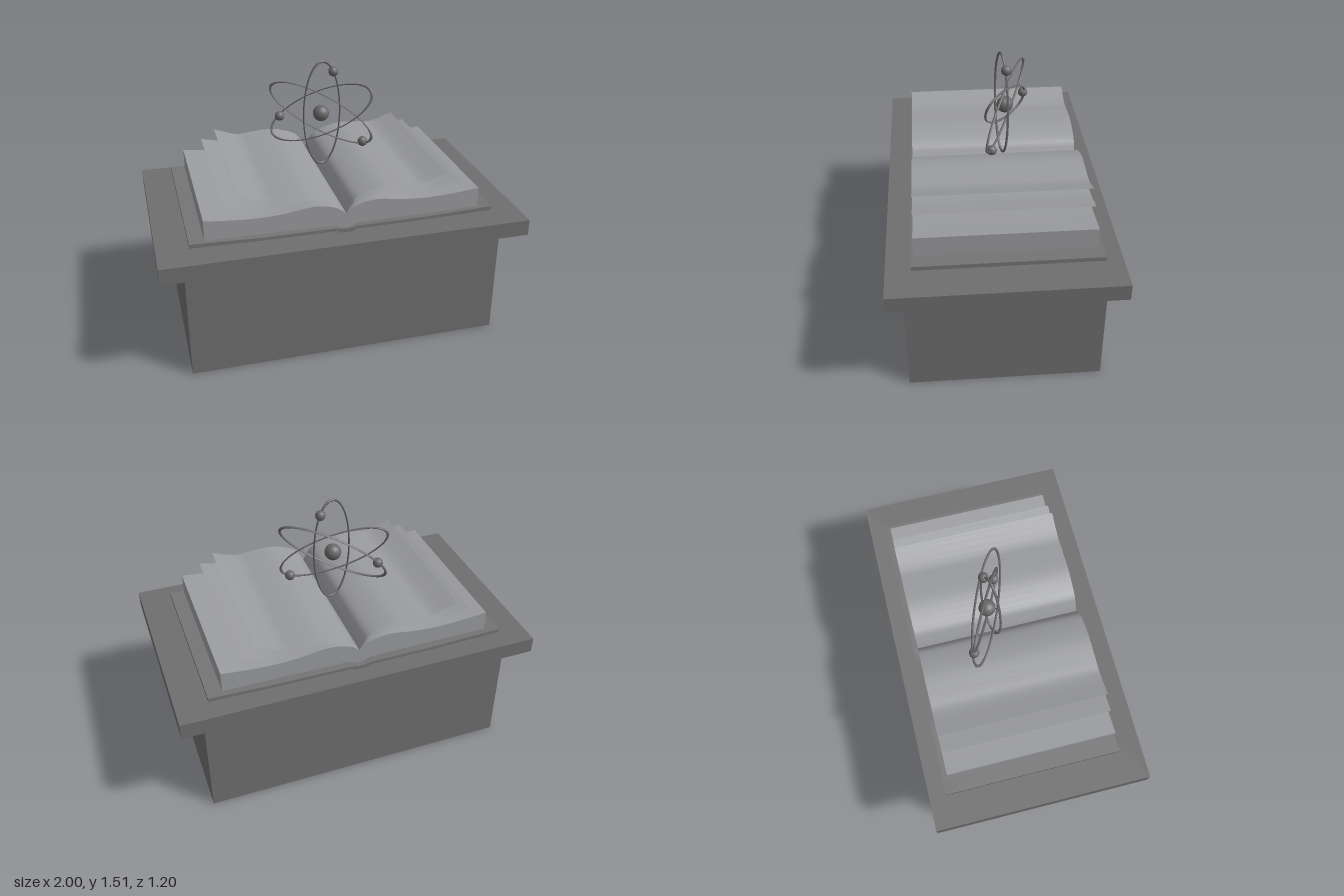
import * as THREE from 'three';
import { toCreasedNormals } from 'three/addons/utils/BufferGeometryUtils.js';

const V3 = (x, y, z) => new THREE.Vector3(x, y, z);

export function createModel() {
  const model = new THREE.Group();
  const mat = (name, color, side = THREE.FrontSide) => {
    const m = new THREE.MeshStandardMaterial({ color, side });
    m.name = name;
    return m;
  };
  const stone = mat('pedestalGrey', 0x6e6e6e);
  const coverGrey = mat('coverGrey', 0x747474);
  const paper = mat('paperGrey', 0x9a9b9f, THREE.DoubleSide);
  const metal = mat('atomGrey', 0x686868);

  const add = (parent, name, geometry, material, x = 0, y = 0, z = 0) => {
    const mesh = new THREE.Mesh(geometry, material);
    mesh.name = name;
    mesh.position.set(x, y, z);
    parent.add(mesh);
    return mesh;
  };
  const spline = (pts, n) =>
    new THREE.SplineCurve(pts.map(p => new THREE.Vector2(...p))).getPoints(n);
  // Mirror a right-hand outline (listed centre to centre) and extrude it along z
  const extrudeMirrored = (right, z0, z1) => {
    const left = right.slice(1, -1).reverse().map(p => new THREE.Vector2(-p.x, p.y));
    const g = new THREE.ExtrudeGeometry(new THREE.Shape([...right, ...left]),
      { depth: z1 - z0, bevelEnabled: false });
    g.translate(0, 0, z0);
    return toCreasedNormals(g, 0.5);
  };

  // Pedestal
  add(model, 'pedestalBody', new THREE.BoxGeometry(1.74, 0.635, 1.035), stone, 0, 0.3175, 0);
  add(model, 'pedestalTop', new THREE.BoxGeometry(2, 0.09, 1.2), stone, 0, 0.68, 0);

  // Open book
  const book = new THREE.Group();
  book.name = 'openBook';
  model.add(book);
  const coverOutline = [[0, 0.726], [0.035, 0.726], [0.05, 0.738], [0.45, 0.74], [0.83, 0.747],
    [0.83, 0.77], [0.45, 0.757], [0.06, 0.755], [0, 0.745]].map(p => new THREE.Vector2(...p));
  add(book, 'cover', extrudeMirrored(coverOutline, -0.505, 0.47), coverGrey);

  const blockTop = spline([[0.75, 0.885], [0.6, 0.871], [0.45, 0.865], [0.32, 0.873],
    [0.17, 0.892], [0.07, 0.875], [0.02, 0.847], [0, 0.83]], 28);
  const blockBottom = [[0, 0.745], [0.03, 0.747], [0.05, 0.765], [0.2, 0.768], [0.75, 0.772]]
    .map(p => new THREE.Vector2(...p));
  add(book, 'pageBlock', extrudeMirrored([...blockBottom, ...blockTop], -0.475, 0.455), paper);

  // Loose leaves curling up on both sides
  const leaves = {
    upperLeaf: [[0, 0.83], [0.025, 0.875], [0.07, 0.925], [0.2, 0.966], [0.34, 0.961], [0.43, 0.957], [0.56, 1.0]],
    lowerLeaf: [[0, 0.83], [0.022, 0.862], [0.07, 0.9], [0.19, 0.929], [0.36, 0.92], [0.49, 0.917], [0.64, 0.946]],
  };
  for (const [name, pts] of Object.entries(leaves)) {
    const n = 24, line = spline(pts, n);
    for (const side of [1, -1]) {
      const g = new THREE.PlaneGeometry(1, 1, n, 1);
      const p = g.attributes.position;
      for (let i = 0; i < p.count; i++) {
        const k = i % (n + 1);
        const q = line[side > 0 ? k : n - k];
        p.setXYZ(i, side * q.x, q.y, p.getY(i) > 0 ? -0.475 : 0.455);
      }
      g.computeVertexNormals();
      add(book, name + (side > 0 ? 'Left' : 'Right'), g, paper);
    }
  }

  // Atom floating over the book
  const atom = new THREE.Group();
  atom.name = 'atom';
  model.add(atom);
  add(atom, 'nucleus', new THREE.SphereGeometry(0.046, 16, 12), metal, 0, 1.2, -0.067);
  const orbits = [
    { c: V3(0, 1.203, -0.048), a: V3(0, 0.302, 0.003), b: V3(-0.111, 0, 0.026), e: V3(0.07, 1.438, -0.066) },
    { c: V3(0, 1.2, -0.072), a: V3(-0.257, 0.143, -0.122), b: V3(-0.05, -0.085, -0.02), e: V3(0.219, 1.042, 0.022) },
    { c: V3(0, 1.2, -0.072), a: V3(0.257, 0.143, 0.103), b: V3(-0.05, 0.085, -0.077), e: V3(-0.213, 1.158, -0.19) },
  ];
  for (const { c, a, b, e } of orbits) {
    // Unit ring stretched onto the two half-axes of the orbit
    const normal = V3().crossVectors(a, b).normalize().multiplyScalar(0.27);
    const g = new THREE.TorusGeometry(1, 0.025, 8, 64);
    g.applyMatrix4(new THREE.Matrix4().makeBasis(a, b, normal));
    add(atom, 'orbit', g, metal, c.x, c.y, c.z);
    add(atom, 'electron', new THREE.SphereGeometry(0.028, 12, 8), metal, e.x, e.y, e.z);
  }
  return model;
}
